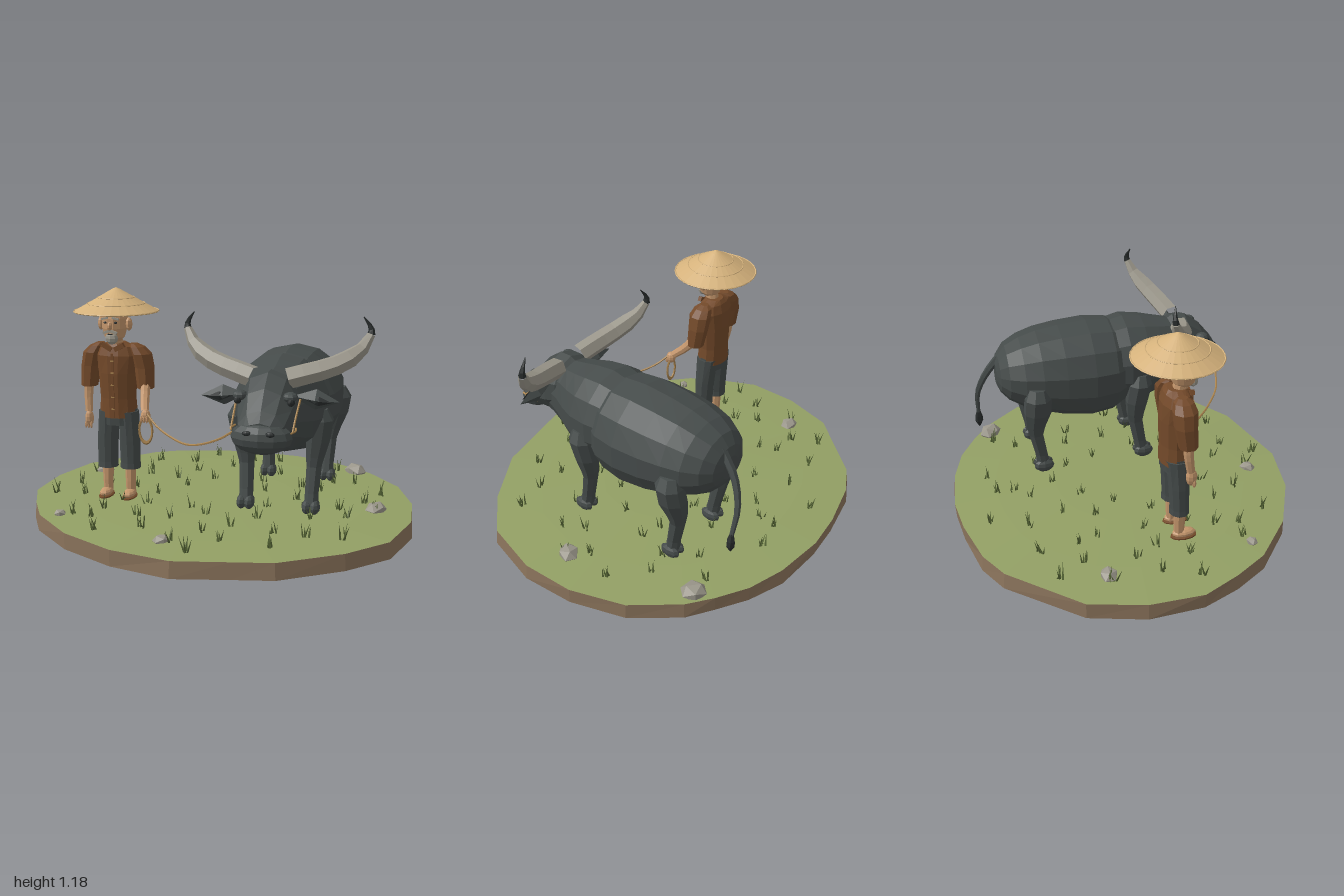
import * as THREE from 'three';
import { mergeGeometries } from 'three/addons/utils/BufferGeometryUtils.js';

const V = (x, y, z) => new THREE.Vector3(x, y, z);
const material = (name, color, side = THREE.FrontSide) => {
  const m = new THREE.MeshStandardMaterial({ color, side });
  m.name = name;
  return m;
};

// Faceted normals for every part
function mesh(parent, name, geo, mat) {
  const g = geo.index ? geo.toNonIndexed() : geo;
  g.computeVertexNormals();
  const m = new THREE.Mesh(g, mat);
  m.name = name;
  parent.add(m);
}

// Surface through a list of rings, each a closed loop of points
function skin(rings, capStart = true, capEnd = true) {
  const pos = [];
  const tri = (...p) => p.forEach(q => pos.push(q.x, q.y, q.z));
  const n = rings[0].length;
  const mid = r => r.reduce((s, p) => s.add(p), V(0, 0, 0)).divideScalar(n);
  for (let j = 0; j < n; j++) {
    const k = (j + 1) % n;
    for (let i = 0; i + 1 < rings.length; i++) {
      const a = rings[i], b = rings[i + 1];
      tri(a[j], b[j], a[k]);
      tri(a[k], b[j], b[k]);
    }
    const first = rings[0], last = rings[rings.length - 1];
    if (capStart) tri(mid(first), first[j], first[k]);
    if (capEnd) tri(mid(last), last[k], last[j]);
  }
  const g = new THREE.BufferGeometry();
  g.setAttribute('position', new THREE.Float32BufferAttribute(pos, 3));
  return g;
}
const angles = n => Array.from({ length: n }, (_, i) => (i + 0.5) / n * Math.PI * 2);
// Upright loft: rows of [x, y, z, rx, rz], lowest first
const loftY = (rows, n = 8) => skin(rows.map(([x, y, z, rx, rz = rx]) =>
  angles(n).map(a => V(x + Math.cos(a) * rx, y, z + Math.sin(a) * rz))));
// Lengthwise loft: rows of [z, y, rx, ry], rearmost first
const loftZ = (x, rows, n = 14) => skin(rows.map(([z, y, rx, ry]) =>
  angles(n).map(a => V(x + Math.cos(a) * rx, y - Math.sin(a) * ry, z))));

// Tube along points whose radius follows a rule of t
function taper(points, radius, steps = 8, sides = 6, from = 0, to = 1) {
  const full = new THREE.CatmullRomCurve3(points.map(p => V(...p)));
  const part = [];
  for (let i = 0; i <= steps; i++) part.push(full.getPoint(from + (to - from) * i / steps));
  const curve = new THREE.CatmullRomCurve3(part);
  const g = new THREE.TubeGeometry(curve, steps, 1, sides, false);
  const p = g.attributes.position, v = V(0, 0, 0);
  for (let i = 0; i < p.count; i++) {
    const u = Math.floor(i / (sides + 1)) / steps, c = curve.getPointAt(u);
    v.fromBufferAttribute(p, i).sub(c).multiplyScalar(radius(from + (to - from) * u)).add(c);
    p.setXYZ(i, v.x, v.y, v.z);
  }
  return g;
}
const ball = (x, y, z, rx, ry = rx, rz = rx, w = 9, h = 7) =>
  new THREE.SphereGeometry(1, w, h).scale(rx, ry, rz).translate(x, y, z);
const box = (x, y, z, w, h, d, tilt = 0) =>
  new THREE.BoxGeometry(w, h, d).rotateZ(tilt).translate(x, y, z);

function group(parent, name) {
  const g = new THREE.Group();
  g.name = name;
  parent.add(g);
  return g;
}

export function createModel() {
  const root = new THREE.Group();
  root.name = 'farmerAndBuffalo';
  const hide = material('charcoal hide and cloth', 0x454b4a), dark = material('near black', 0x282c2c);
  const grey = material('horn and stone grey', 0x9a968a), shirt = material('brown shirt', 0x744a2a);
  const skinTone = material('skin', 0xc4966c), rope = material('rope', 0xa8834f);
  const straw = material('straw', 0xd4b17b, THREE.DoubleSide);
  const turf = material('turf', 0x929f64, THREE.DoubleSide), earth = material('earth', 0x8a735b, THREE.DoubleSide);
  const blade = material('grass blades', 0x566636, THREE.DoubleSide);
  let seed = 7;
  const rnd = () => (seed = (seed * 16807) % 2147483647) / 2147483647;

  // Ground: irregular open disc, gently domed
  const base = group(root, 'ground');
  const outline = [[0, -.89], [.26, -.86], [.45, -.8], [.6, -.71], [.72, -.62], [.89, -.41], [.98, -.14],
    [.99, .13], [.91, .42], [.73, .61], [.45, .79], [.26, .83], [0, .885], [-.3, .83], [-.58, .69],
    [-.8, .49], [-.9, .32], [-.985, .13], [-.98, -.14], [-.9, -.41], [-.6, -.73], [-.45, -.81], [-.2, -.87]];
  const rim = (s, y) => outline.map(([x, z]) => V(x * s, y, z * s));
  const lower = outline.map(([x, z]) => { const s = .995 + rnd() * .018; return V(x * s, 0, z * s); });
  mesh(base, 'turf', skin([rim(1, .08), rim(.75, .092), rim(.4, .1)], false), turf);
  mesh(base, 'earthRim', skin([lower, rim(1, .08)], false, false), earth);

  // Stones
  [[-.75, -.265, .05], [.635, -.61, .064], [.81, .02, .058], [-.1, .69, .042], [-.7, .47, .03]]
    .forEach(([x, z, r]) => mesh(base, 'stone',
      new THREE.IcosahedronGeometry(r).scale(1.05, .7, .9).rotateY(rnd() * 6).translate(x, .092, z), grey));

  // Grass tufts on an even, jittered spiral
  const blades = [], tufts = 68;
  for (let i = 4; i < tufts; i++) {
    const a = i * 2.4 + rnd() * .3, r = .9 * Math.sqrt((i + rnd()) / tufts);
    const x = Math.cos(a) * r, z = Math.sin(a) * r * .87;
    for (let k = 0; k < 5; k++) {
      const h = .045 + rnd() * .045;
      blades.push(new THREE.ConeGeometry(.0065, h, 3).translate(0, h / 2, 0)
        .rotateX(.1 + rnd() * .3).rotateY(k * 1.26 + rnd())
        .translate(x + (rnd() - .5) * .03, .083, z + (rnd() - .5) * .03));
    }
  }
  mesh(base, 'grassTufts', mergeGeometries(blades), blade);

  // Buffalo body
  const ox = group(root, 'buffalo'), cx = .34;
  mesh(ox, 'barrel', loftZ(cx, [[-.59, .63, .06, .06], [-.575, .635, .12, .1], [-.535, .638, .175, .148],
    [-.46, .635, .222, .19], [-.37, .63, .247, .222], [-.25, .62, .263, .25], [-.1, .613, .268, .268],
    [.02, .615, .252, .255], [.08, .618, .215, .225], [.13, .62, .15, .17]]), hide);
  mesh(ox, 'shoulders', loftZ(cx, [[-.05, .63, .18, .19], [.02, .637, .22, .225], [.1, .642, .236, .238],
    [.2, .638, .222, .23], [.28, .64, .19, .21], [.35, .648, .155, .188], [.43, .652, .125, .165],
    [.5, .63, .1, .125]]), hide);
  mesh(ox, 'head', loftZ(cx, [[.33, .7, .1, .12], [.38, .7, .135, .152], [.45, .685, .142, .165],
    [.53, .65, .128, .14], [.6, .61, .11, .095], [.63, .595, .08, .06]], 10), hide);
  mesh(ox, 'muzzle', ball(cx, .582, .585, .142, .078, .085, 12, 8), hide);

  // Tail
  mesh(ox, 'tail', taper([[.36, .73, -.55], [.375, .62, -.635], [.41, .49, -.685], [.45, .35, -.685]],
    t => .023 - .012 * t, 8), hide);
  mesh(ox, 'tailTuft', loftY([[.455, .255, -.685, .004], [.455, .29, -.685, .022],
    [.455, .32, -.685, .02], [.45, .36, -.685, .008]], 6), dark);

  for (const s of [-1, 1]) {
    const X = d => cx + s * d;
    // Legs
    mesh(ox, 'frontLeg', loftY([[X(.165), .13, .17, .036], [X(.165), .2, .155, .035],
      [X(.17), .33, .13, .039], [X(.175), .38, .127, .048], [X(.187), .46, .13, .06],
      [X(.2), .57, .145, .065], [X(.19), .625, .15, .045]]), hide);
    mesh(ox, 'hindLeg', loftY([[X(.165), .13, -.385, .036], [X(.165), .2, -.395, .034],
      [X(.17), .33, -.42, .039], [X(.178), .39, -.42, .053], [X(.197), .48, -.41, .073],
      [X(.212), .57, -.405, .072], [X(.2), .625, -.4, .052]]), hide);
    for (const z of [.175, -.385]) for (const t of [-1, 1])
      mesh(ox, 'hoof', ball(X(.165) + t * .02, .132, z, .026, .036, .054, 8, 6), hide);

    // Horns with dark tips
    const path = [[X(.08), .815, .4], [X(.19), .845, .372], [X(.29), .875, .34], [X(.37), .92, .3],
      [X(.422), .975, .265], [X(.437), 1.03, .25], [X(.4), 1.09, .26]];
    const width = t => .05 * (1 - t * t * .5) * Math.min(1, (1 - t) * 2.1) + .002;
    mesh(ox, 'horn', taper(path, width, 6, 6, 0, .77), grey);
    mesh(ox, 'hornTip', taper(path, width, 4, 6, .77, 1), dark);

    // Ears, eyes, nostrils
    mesh(ox, 'ear', new THREE.OctahedronGeometry(1).scale(.11, .048, .035)
      .rotateZ(-s * .08).translate(X(.215), .73, .42), hide);
    mesh(ox, 'innerEar', new THREE.OctahedronGeometry(1).scale(.06, .022, .008)
      .rotateZ(-s * .08).translate(X(.23), .726, .442), dark);
    mesh(ox, 'brow', ball(X(.115), .754, .515, .034, .024, .036), hide);
    mesh(ox, 'eye', ball(X(.122), .735, .535, .018, .019, .021, 8, 6), dark);
    mesh(ox, 'nostril', ball(X(.052), .612, .652, .022, .012, .012, 8, 6), dark);

    // Halter side straps
    mesh(ox, 'halterStrap', taper([[X(.14), .61, .585], [X(.142), .66, .53], [X(.147), .73, .44]], () => .005, 6, 5), rope);
    mesh(ox, 'noseStrap', taper([[X(.14), .61, .5], [X(.147), .61, .55], [X(.132), .61, .61]], () => .005, 6, 5), rope);
  }

  // Lead rope and its coil
  mesh(root, 'leadRope', taper([[-.32, .59, .265], [-.24, .53, .32], [-.13, .495, .4], [-.04, .49, .47],
    [.06, .52, .545], [.15, .56, .575], [.21, .6, .585]], () => .0055, 24, 5), rope);
  mesh(root, 'ropeCoil', new THREE.TorusGeometry(.034, .006, 5, 16).scale(1, 1.85, 1)
    .translate(-.315, .488, .265), rope);

  // Farmer
  const man = group(root, 'farmer'), mx = -.51, mz = .12;
  const row = (d, y, rx, rz, dz = 0) => [mx + d, y, mz + dz, rx, rz];
  mesh(man, 'torso', loftY([row(0, .52, .1, .075), row(0, .62, .093, .074), row(0, .75, .1, .08),
    row(0, .84, .115, .075), row(0, .885, .095, .06), row(0, .905, .045, .045)], 12), shirt);
  mesh(man, 'hips', loftY([row(0, .48, .105, .066), row(0, .56, .098, .07)], 12), hide);
  mesh(man, 'buttonPlacket', box(mx, .69, mz + .079, .012, .33, .006), shirt);
  for (let i = 0; i < 5; i++)
    mesh(man, 'button', box(mx, .57 + i * .062, mz + .084, .016, .006, .006), rope);
  mesh(man, 'neck', loftY([row(0, .86, .036, .036, .01), row(0, .95, .034, .036, .025)]), skinTone);

  // Head and face
  mesh(man, 'head', loftY([row(0, .915, .032, .035, .035), row(0, .935, .05, .055, .032),
    row(0, .98, .063, .066, .03), row(0, 1.03, .066, .07, .025), row(0, 1.075, .058, .064, .02),
    row(0, 1.1, .03, .035, .018)], 12), skinTone);
  mesh(man, 'nose', ball(mx, .995, mz + .098, .013, .022, .016, 7, 5), skinTone);
  mesh(man, 'beard', ball(mx, .933, mz + .076, .034, .032, .024, 8, 6), grey);
  mesh(man, 'mouth', box(mx, .955, mz + .098, .024, .005, .008), dark);

  for (const s of [-1, 1]) {
    mesh(man, 'ear', ball(mx + s * .074, 1, mz + .025, .017, .034, .022, 7, 6), skinTone);
    mesh(man, 'eye', ball(mx + s * .027, 1.012, mz + .088, .009, .006, .008, 7, 5), dark);
    mesh(man, 'eyebrow', box(mx + s * .028, 1.033, mz + .091, .036, .01, .008, -s * .2), grey);
    mesh(man, 'moustache', box(mx + s * .018, .967, mz + .097, .038, .013, .012, -s * .35), grey);
    mesh(man, 'collar', box(mx + s * .032, .885, mz + .058, .055, .024, .02, s * .5), shirt);
    mesh(man, 'sleeve', loftY([row(s * .152, .675, .043, .046, .012), row(s * .144, .78, .05, .055),
      row(s * .128, .85, .053, .06), row(s * .105, .885, .04, .048), row(s * .09, .9, .02, .025)]), shirt);
    // Trousers, shins and sandals
    mesh(man, 'trouserLeg', loftY([row(s * .062, .25, .054, .05, .012), row(s * .062, .28, .052, .048, .012),
      row(s * .06, .4, .054, .052, .008), row(s * .053, .55, .052, .06)], 10), hide);
    mesh(man, 'shin', loftY([row(s * .062, .11, .024, .024, .016), row(s * .062, .18, .026, .028, .016),
      row(s * .062, .28, .03, .03, .014)]), skinTone);
    mesh(man, 'foot', ball(mx + s * .064, .118, mz + .04, .032, .022, .062), skinTone);
    mesh(man, 'sandal', ball(mx + s * .064, .1, mz + .04, .037, .011, .07, 12, 5), shirt);
  }

  // Arms: one hanging, the other reaching forward with the rope
  mesh(man, 'hangingForearm', taper([[-.662, .72, .13], [-.668, .63, .135], [-.662, .54, .15]],
    t => .028 - .008 * t, 5, 8), skinTone);
  mesh(man, 'hangingHand', ball(-.66, .505, .155, .022, .045, .028), skinTone);
  mesh(man, 'ropeForearm', taper([[-.358, .72, .13], [-.345, .65, .18], [-.322, .58, .255]],
    t => .028 - .008 * t, 5, 8), skinTone);
  mesh(man, 'ropeHand', ball(-.315, .565, .265, .024, .032, .028), skinTone);
  for (let i = 0; i < 3; i++) {
    mesh(man, 'finger', ball(-.675 + i * .014, .475, .165, .007, .022, .01, 6, 5), skinTone);
    mesh(man, 'finger', ball(-.33 + i * .014, .55, .285, .007, .02, .01, 6, 5), skinTone);
  }

  // Conical straw hat with woven rings
  const hat = group(man, 'hat');
  const profile = [[.215, 1.06], [.14, 1.102], [.07, 1.142], [.025, 1.168], [0, 1.18]];
  mesh(hat, 'hatCone', new THREE.LatheGeometry(profile.map(p => new THREE.Vector2(...p)), 28)
    .translate(mx, 0, mz), straw);
  [[.212, 1.062, .004], [.145, 1.099, .003], [.092, 1.129, .003]].forEach(([r, y, w]) =>
    mesh(hat, 'hatRing', new THREE.TorusGeometry(r, w, 5, 28).rotateX(Math.PI / 2).translate(mx, y, mz), straw));

  return root;
}
